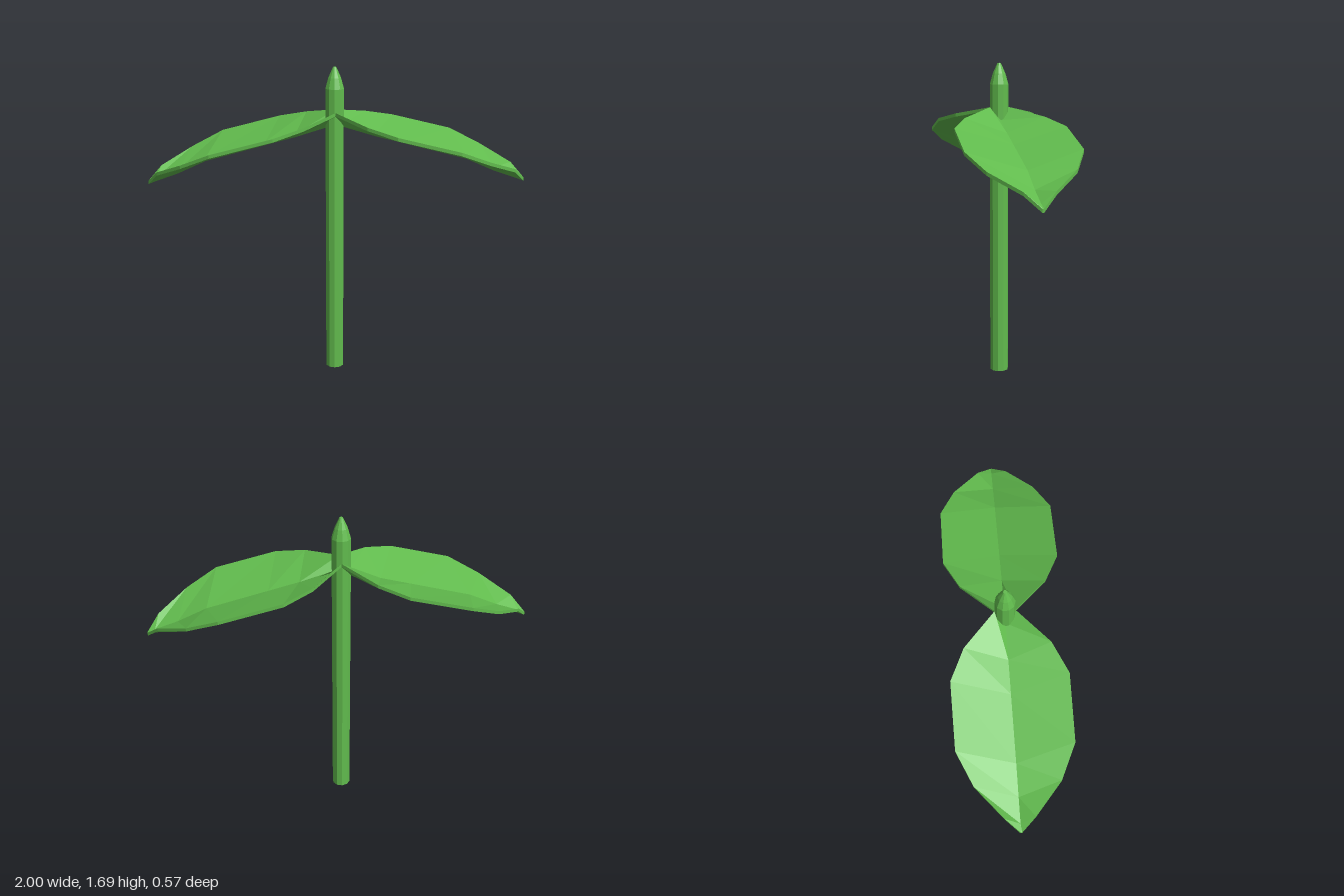
import * as THREE from 'three';

// Facet a geometry so each polygon has its own normal
function faceted(geometry) {
  const g = geometry.index ? geometry.toNonIndexed() : geometry;
  g.computeVertexNormals();
  return g;
}

// Leaf stations from stem to tip: [rimX, rimY, halfWidth, ribX, ribY]
const STATIONS = [
  [0.0, 1.46, 0.05, 0.04, 1.395],
  [0.16, 1.42, 0.21, 0.21, 1.345],
  [0.31, 1.385, 0.285, 0.37, 1.305],
  [0.63, 1.31, 0.285, 0.69, 1.225],
  [0.79, 1.24, 0.21, 0.84, 1.16],
  [0.94, 1.17, 0.075, 0.96, 1.12],
  [1.0, 1.105, 0.004, 1.0, 1.105],
];

// Thick leaf folded into a valley along its rib; droop lowers the tip
function leafGeometry(droop) {
  const t = 0.018;
  const positions = [];
  const index = [];
  const n = 6;
  for (const [x, y, w, mx, my] of STATIONS) {
    const ry = y - droop * x;
    const my2 = my - droop * mx;
    positions.push(
      x, ry, w, mx, my2, 0, x, ry, -w,
      x, ry - t, -w, mx, my2 - t, 0, x, ry - t, w,
    );
  }
  for (let i = 0; i < STATIONS.length - 1; i++) {
    for (let k = 0; k < n; k++) {
      const a = i * n + k;
      const b = i * n + ((k + 1) % n);
      index.push(a, a + n, b + n, a, b + n, b);
    }
  }
  // End caps at the stem and the tip
  const e = (STATIONS.length - 1) * n;
  index.push(0, 1, 4, 0, 4, 5, 1, 2, 3, 1, 3, 4);
  index.push(e, e + 4, e + 1, e, e + 5, e + 4, e + 1, e + 3, e + 2, e + 1, e + 4, e + 3);

  const g = new THREE.BufferGeometry();
  g.setAttribute('position', new THREE.Float32BufferAttribute(positions, 3));
  g.setIndex(index);
  return faceted(g);
}

export function createModel() {
  const model = new THREE.Group();
  model.name = 'sprout';
  const green = new THREE.MeshStandardMaterial({ color: 0x61bb4d });
  green.name = 'leaf green';

  // Ten-sided stem ending in a pointed bud
  const profile = [
    [0, 0], [0.05, 0], [0.05, 1.58], [0.034, 1.635], [0.009, 1.69], [0, 1.69],
  ].map(([r, y]) => new THREE.Vector2(r, y));
  const stem = new THREE.Mesh(faceted(new THREE.LatheGeometry(profile, 10)), green);
  stem.name = 'stem';
  stem.position.x = -0.005;
  model.add(stem);

  // Two opposite leaves, one drooping slightly more
  const leftLeaf = new THREE.Mesh(leafGeometry(0), green);
  leftLeaf.name = 'leftLeaf';
  const rightLeaf = new THREE.Mesh(leafGeometry(0.023), green);
  rightLeaf.name = 'rightLeaf';
  rightLeaf.rotation.y = Math.PI;
  model.add(leftLeaf, rightLeaf);

  return model;
}
